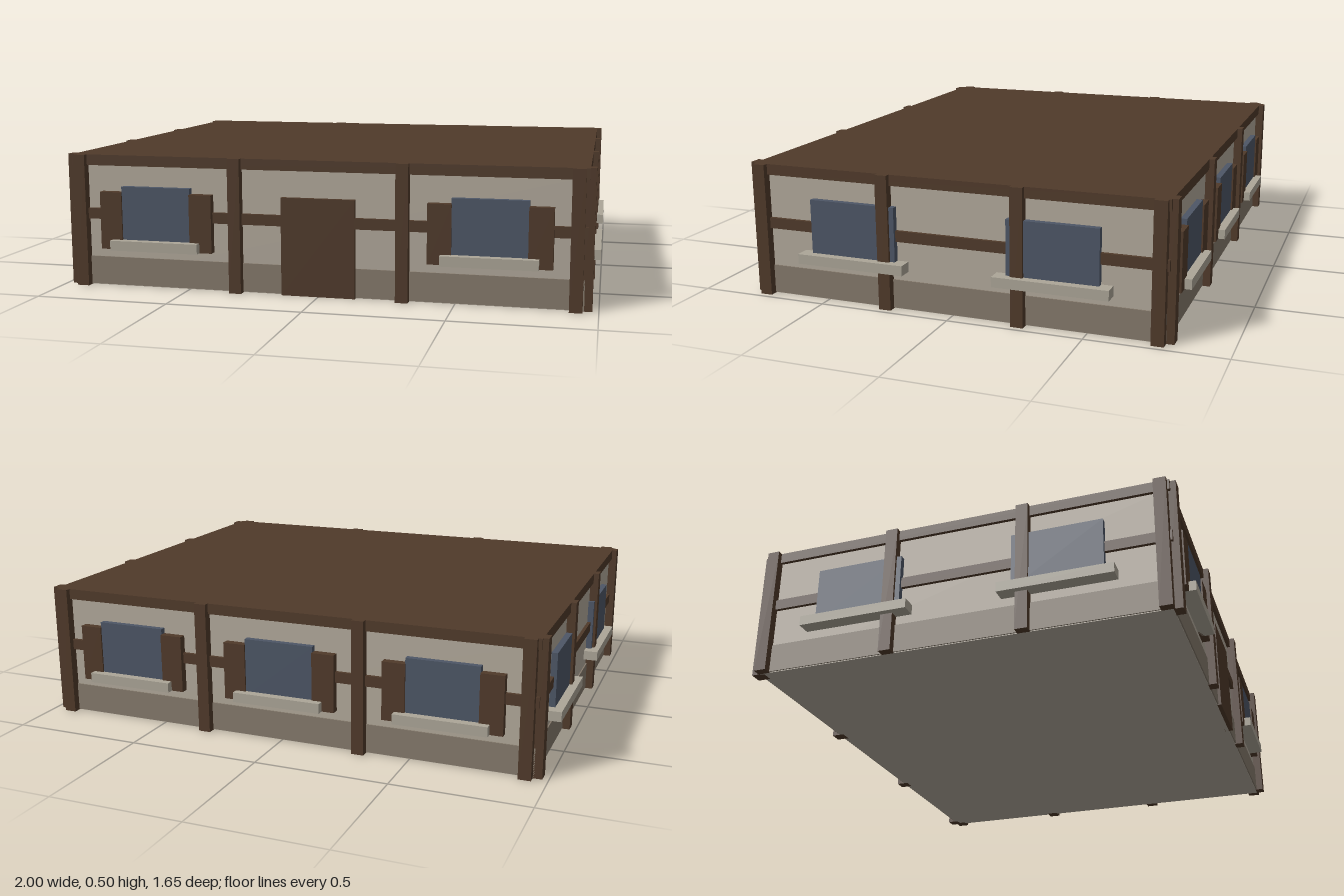
import * as THREE from 'three';

const material = (name, color) => {
  const m = new THREE.MeshStandardMaterial({ color });
  m.name = name;
  return m;
};

export function createModel() {
  const timber = material('dark timber', 0x503a2a);
  const plaster = material('plaster', 0xb2a99b);
  const stone = material('base stone', 0x857a6c);
  const sillStone = material('sill stone', 0xaca698);
  const glass = material('blue glass', 0x4d5666);

  const house = new THREE.Group();
  house.name = 'timberFramedStorey';

  // Box given by its extents on each axis
  const box = (parent, name, mat, [x0, x1], [y0, y1], [z0, z1]) => {
    const mesh = new THREE.Mesh(new THREE.BoxGeometry(x1 - x0, y1 - y0, z1 - z0), mat);
    mesh.position.set((x0 + x1) / 2, (y0 + y1) / 2, (z0 + z1) / 2);
    mesh.name = name;
    parent.add(mesh);
  };
  const around = (c, w) => [c - w / 2, c + w / 2];

  // Core: plaster walls down to the underside, stone base band and flat timber deck
  box(house, 'plasterWalls', plaster, [-0.945, 0.945], [0, 0.47], [-0.77, 0.77]);
  box(house, 'stoneBase', stone, [-0.95, 0.95], [0.003, 0.11], [-0.775, 0.775]);
  box(house, 'timberDeck', timber, [-0.95, 0.95], [0.465, 0.5], [-0.775, 0.775]);

  // One wall, built facing +z with its stone face at z = face
  const wall = (name, angle, half, face, posts, windows, size, shutters) => {
    const side = new THREE.Group();
    side.name = name;
    side.rotation.y = angle;
    house.add(side);
    const inner = face - 0.02;

    box(side, 'topBeam', timber, [-half, half], [0.46, 0.5], [inner, face + 0.008]);
    box(side, 'middleRail', timber, [-half, half], [0.256, 0.296], [inner, face + 0.008]);
    for (const x of posts) {
      box(side, 'post', timber, around(x, 0.046), [0, 0.5], [inner, face + 0.028]);
    }

    // Windows with a sill, and shutters where the wall has them
    for (const x of windows) {
      box(side, 'windowPane', glass, around(x, size.pane), [0.165, 0.383], [inner, face + 0.018]);
      box(side, 'windowSill', sillStone, around(x, size.sill), [0.145, 0.182], [inner, face + 0.05]);
      if (!shutters) continue;
      for (const s of [-1, 1]) {
        box(side, 'shutter', timber, around(x + s * 0.177, 0.086), [0.145, 0.362], [inner, face + 0.024]);
      }
    }
    return side;
  };

  const longPosts = [-0.922, -0.312, 0.312, 0.922];
  const sidePosts = [-0.752, -0.254, 0.254, 0.752];
  const small = { pane: 0.27, sill: 0.345 };
  const wide = { pane: 0.335, sill: 0.42 };

  const front = wall('frontWall', 0, 0.957, 0.775, longPosts, [-0.622, 0.622], small, true);
  wall('backWall', Math.PI, 0.957, 0.775, longPosts, [-0.622, 0, 0.622], small, true);
  wall('leftWall', Math.PI / 2, 0.783, 0.95, sidePosts, [-0.38, 0.38], wide, false);
  wall('rightWall', -Math.PI / 2, 0.783, 0.95, sidePosts, [-0.38, 0.38], wide, false);

  // Plain door in the middle of the front
  box(front, 'door', timber, [-0.138, 0.138], [0, 0.362], [0.755, 0.786]);

  return house;
}
